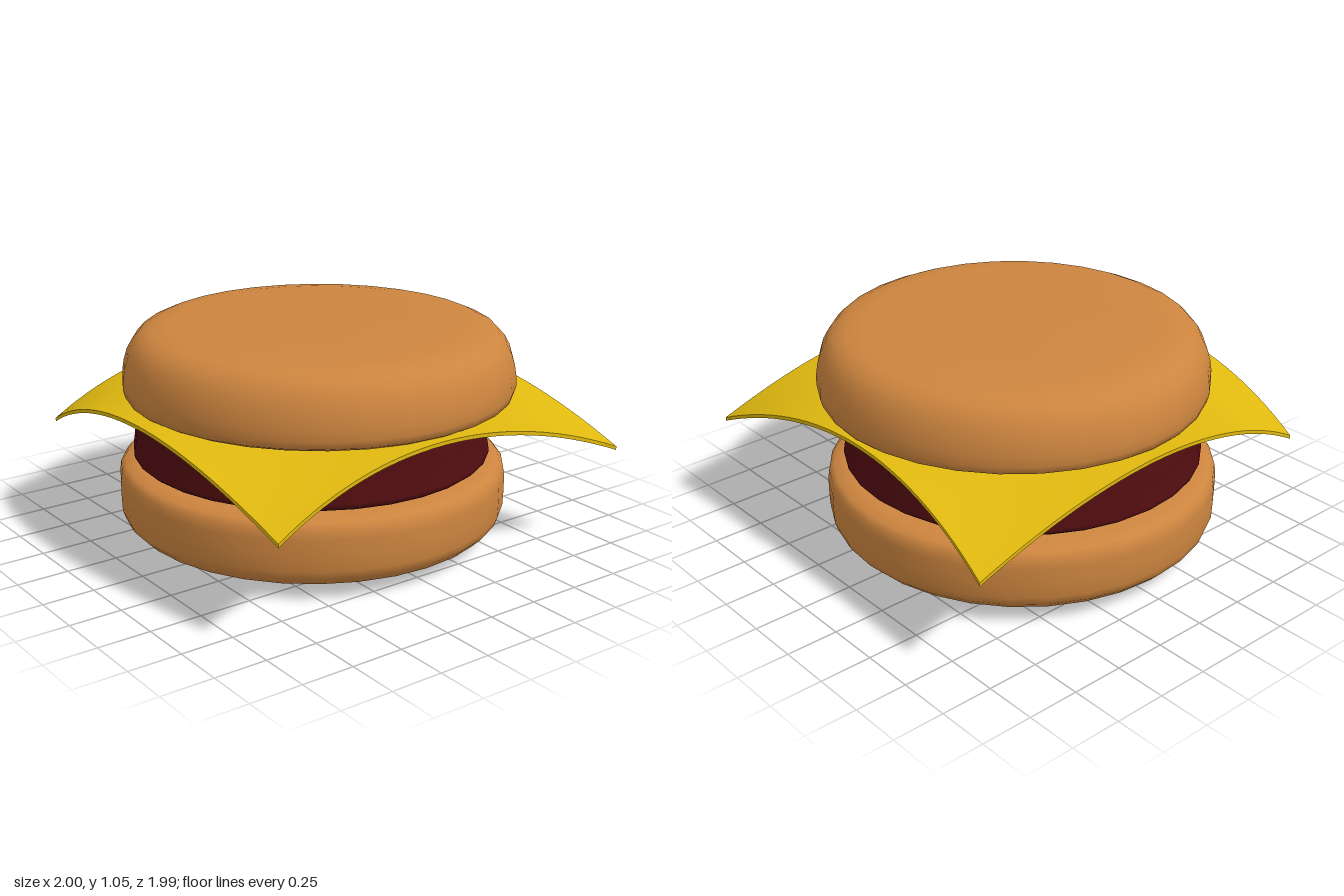
import * as THREE from 'three';

const BUN = 0xcd853f, PATTY = 0x520d10, CHEESE = 0xe0b90f;

// Round layer turned from a [radius, height] profile, listed bottom to top
function layer(name, color, profile, x, z) {
  const points = profile.map(([r, y]) => new THREE.Vector2(r, y));
  const mesh = new THREE.Mesh(
    new THREE.LatheGeometry(points, 32),
    new THREE.MeshStandardMaterial({ color })
  );
  mesh.name = name;
  mesh.position.set(x, 0, z);
  return mesh;
}

// Thin square slice: level along its middle lines, corners drooping
function cheeseSlice() {
  const geometry = new THREE.BoxGeometry(2, 0.018, 2, 28, 1, 28);
  const pos = geometry.attributes.position;
  for (let i = 0; i < pos.count; i++) {
    const u = pos.getX(i), w = pos.getZ(i);
    const droop = u * u * w * w;
    pos.setXYZ(
      i,
      0.966 * u - 0.034 + 0.068 * droop,
      0.719 + pos.getY(i) - 0.237 * droop,
      0.967 * w - 0.003 + 0.03 * droop
    );
  }
  geometry.computeVertexNormals();
  const mesh = new THREE.Mesh(geometry, new THREE.MeshStandardMaterial({ color: CHEESE }));
  mesh.name = 'cheeseSlice';
  return mesh;
}

export function createModel() {
  const group = new THREE.Group();
  group.name = 'cheeseburger';

  // Bottom bun: shallow rounded base, tight rounding at the top
  group.add(layer('bottomBun', BUN, [
    [0, 0], [0.43, 0.008], [0.72, 0.028], [0.82, 0.045], [0.88, 0.072], [0.918, 0.11],
    [0.932, 0.15], [0.935, 0.22], [0.935, 0.3], [0.928, 0.345], [0.905, 0.372],
    [0.85, 0.388], [0.7, 0.395], [0, 0.4],
  ], 0, -0.06));

  // Patty: widest near its foot
  group.add(layer('patty', PATTY, [
    [0, 0.4], [0.8, 0.402], [0.84, 0.408], [0.858, 0.422], [0.858, 0.44], [0.85, 0.49],
    [0.843, 0.56], [0.838, 0.63], [0.828, 0.665], [0.8, 0.683], [0.74, 0.69], [0, 0.692],
  ], -0.013, -0.05));

  group.add(cheeseSlice());

  // Top bun: nearly flat below, broad shoulder above
  group.add(layer('topBun', BUN, [
    [0, 0.703], [0.6, 0.705], [0.8, 0.71], [0.89, 0.718], [0.922, 0.735], [0.932, 0.77],
    [0.93, 0.82], [0.922, 0.87], [0.905, 0.925], [0.88, 0.97], [0.845, 1.008],
    [0.79, 1.033], [0.7, 1.045], [0.5, 1.049], [0, 1.05],
  ], -0.007, 0.007));

  return group;
}
